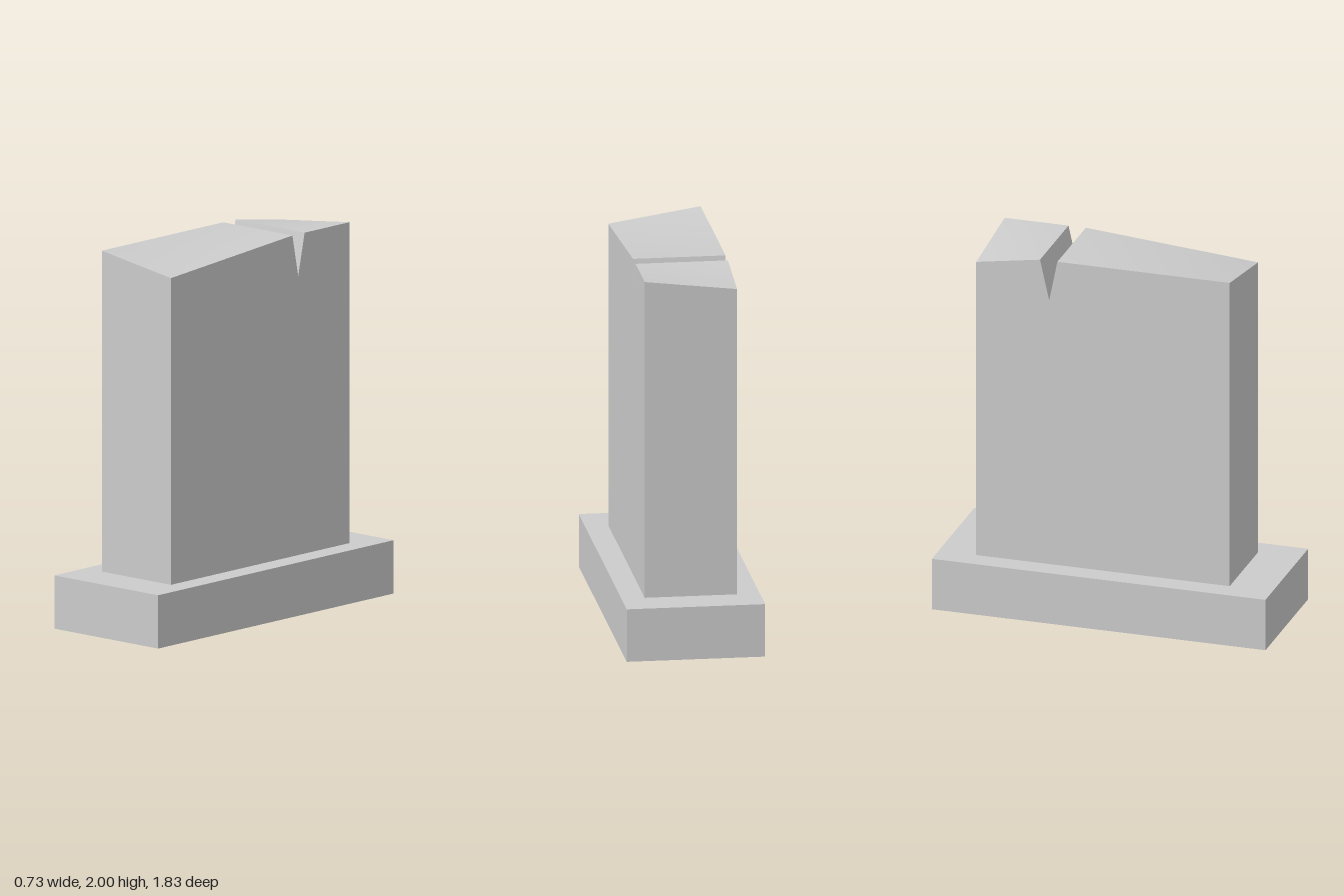
import * as THREE from 'three';
import { toCreasedNormals } from 'three/addons/utils/BufferGeometryUtils.js';

const LEFT = 0.242, RIGHT = -0.245;   // side walls of the slab
const FRONT = 0.68, BACK = -0.71;     // end walls
const NOTCH_FRONT = -0.265, NOTCH_BACK = -0.36;
const FOOT = 0.285, TOP = 2;

// Height of the top surface: each side of the notch dips toward one corner
function topHeight(x, z) {
  const s = (x - RIGHT) / (LEFT - RIGHT);
  if (z >= NOTCH_FRONT) return TOP - 0.076 * s * (z - NOTCH_FRONT) / (FRONT - NOTCH_FRONT);
  if (z <= NOTCH_BACK) return TOP - 0.057 * (1 - s) * (z - NOTCH_BACK) / (BACK - NOTCH_BACK);
  return 1.775; // floor of the notch
}

// Slab lofted along z through the stations, with the notch as one station
function slabGeometry() {
  const stations = [];
  for (let i = 0; i <= 4; i++) stations.push(THREE.MathUtils.lerp(BACK, NOTCH_BACK, i / 4));
  stations.push(-0.31);
  for (let i = 0; i <= 10; i++) stations.push(THREE.MathUtils.lerp(NOTCH_FRONT, FRONT, i / 10));
  const n = stations.length - 1;

  const geometry = new THREE.BoxGeometry(1, 1, 1, 8, 1, n);
  const p = geometry.attributes.position;
  for (let i = 0; i < p.count; i++) {
    const x = THREE.MathUtils.lerp(RIGHT, LEFT, p.getX(i) + 0.5);
    const z = stations[Math.round((p.getZ(i) + 0.5) * n)];
    p.setXYZ(i, x, p.getY(i) > 0 ? topHeight(x, z) : FOOT, z);
  }
  return toCreasedNormals(geometry, 0.35);
}

export function createModel() {
  const group = new THREE.Group();
  group.name = 'notchedMonument';
  const material = new THREE.MeshStandardMaterial({ color: 0xcccccc });

  // Plinth
  const plinth = new THREE.Mesh(new THREE.BoxGeometry(0.73, FOOT, 1.83), material);
  plinth.name = 'plinth';
  plinth.position.y = FOOT / 2;

  // Upright slab with sloping, notched top
  const slab = new THREE.Mesh(slabGeometry(), material);
  slab.name = 'slab';

  group.add(plinth, slab);
  return group;
}
